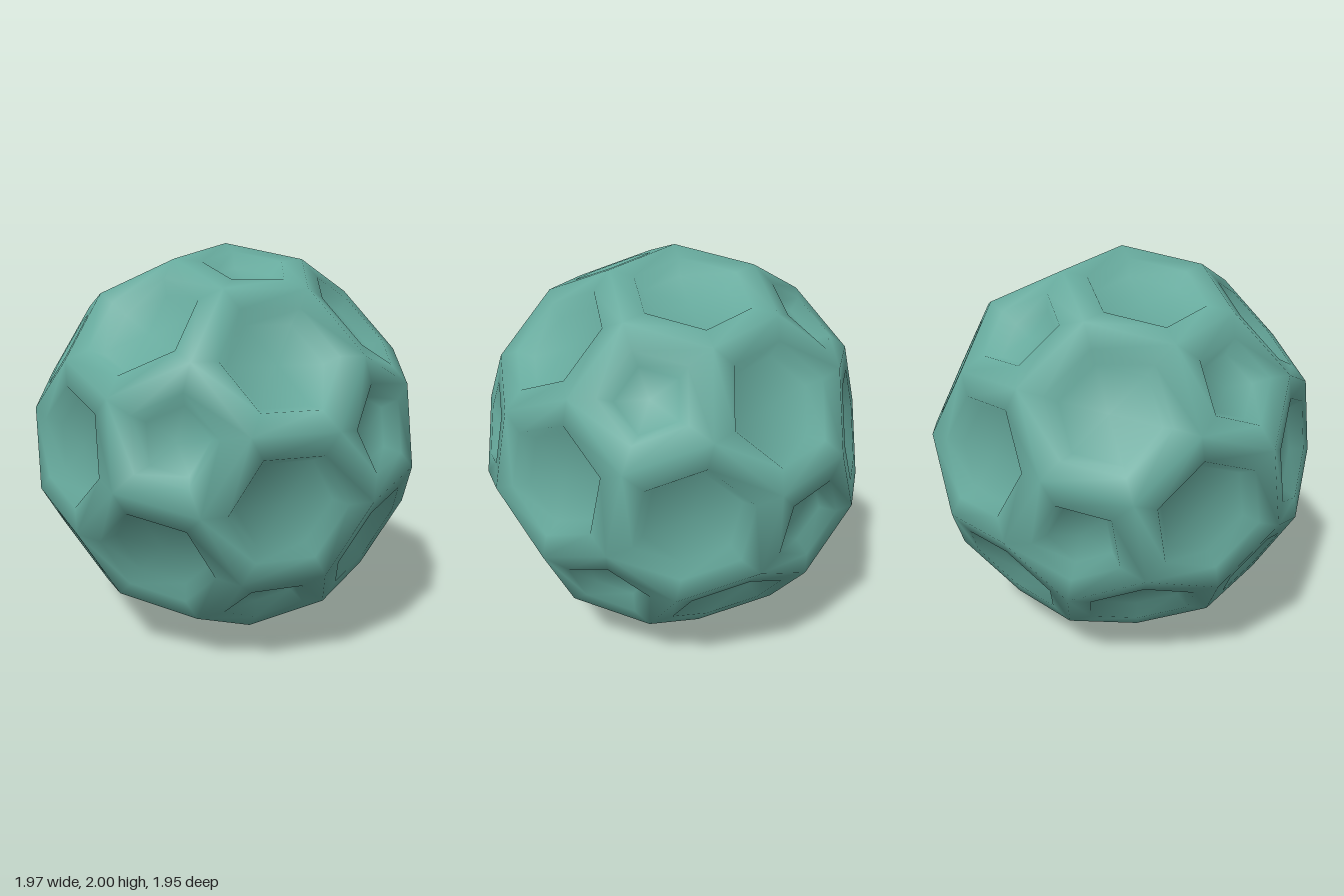
import * as THREE from 'three';
import { mergeVertices } from 'three/addons/utils/BufferGeometryUtils.js';

// Ball of 12 pentagons and 20 hexagons, standing on one corner, each panel sunk inside a flat border.
const TURN = THREE.MathUtils.degToRad(34.4); // heading of the pentagon beside the top corner
// Each ring: distance in from the panel edge, and depth below the panel
const RINGS = [[0, 0], [0.105, 0], [0.15, 0.065]];

// Twelve five-fold axes, laid out so that a corner of the ball points straight up
function fiveFoldAxes() {
  const half = [
    [0, 0.9392, 0.3433], [0, 0.7271, -0.6866],
    [0.8507, 0.5149, -0.1061], [-0.8507, 0.5149, -0.1061],
    [0.5257, 0.1717, 0.8332], [-0.5257, 0.1717, 0.8332],
  ].map((p) => new THREE.Vector3(...p).normalize());
  return [...half, ...half.map((p) => p.clone().negate())];
}

// Ball corner a third of the way from one axis to its neighbour
const corner = (a, b) => a.clone().multiplyScalar(2).add(b).normalize();
const adjacent = (a, b) => Math.abs(a.dot(b) - 0.4472) < 0.05;

// Sorts corners anticlockwise as seen from outside
function ordered(points, normal) {
  const u = points[0].clone().addScaledVector(normal, -points[0].dot(normal)).normalize();
  const v = normal.clone().cross(u);
  const angle = (p) => Math.atan2(p.dot(v), p.dot(u));
  return points.sort((a, b) => angle(a) - angle(b));
}

// Panel: flat border, steep wall, then a sunken floor
function addPanel(out, corners, normal) {
  const n = corners.length;
  const pts = ordered(corners, normal);
  const centre = pts.reduce((s, p) => s.add(p), new THREE.Vector3()).divideScalar(n);
  const apothem = pts[0].clone().add(pts[1]).multiplyScalar(0.5).distanceTo(centre);
  const at = ([inset, depth], i) => pts[i % n].clone()
    .lerp(centre, inset / apothem).addScaledVector(normal, -depth);
  const tri = (...ps) => ps.forEach((p) => out.push(p.x, p.y, p.z));
  const floor = RINGS[RINGS.length - 1];
  const middle = centre.clone().addScaledVector(normal, -floor[1]);
  for (let i = 0; i < n; i++) {
    for (let r = 0; r < RINGS.length - 1; r++) {
      const a = at(RINGS[r], i), b = at(RINGS[r], i + 1);
      const c = at(RINGS[r + 1], i + 1), d = at(RINGS[r + 1], i);
      tri(a, b, c);
      tri(a, c, d);
    }
    tri(at(floor, i), at(floor, i + 1), middle);
  }
}

export function createModel() {
  const axes = fiveFoldAxes();
  const out = [];

  // Pentagons
  for (const a of axes) {
    const around = axes.filter((b) => adjacent(a, b));
    addPanel(out, around.map((b) => corner(a, b)), a);
  }

  // Hexagons, one between every three neighbouring axes
  for (let i = 0; i < 12; i++) for (let j = i + 1; j < 12; j++) for (let k = j + 1; k < 12; k++) {
    const [a, b, c] = [axes[i], axes[j], axes[k]];
    if (!adjacent(a, b) || !adjacent(b, c) || !adjacent(a, c)) continue;
    const normal = a.clone().add(b).add(c).normalize();
    addPanel(out, [[a, b], [b, a], [b, c], [c, b], [a, c], [c, a]].map((e) => corner(...e)), normal);
  }

  // Shared corners give soft ridges
  let geometry = new THREE.BufferGeometry();
  geometry.setAttribute('position', new THREE.Float32BufferAttribute(out, 3));
  geometry = mergeVertices(geometry, 1e-3);
  geometry.computeVertexNormals();
  geometry.rotateY(TURN);
  geometry.translate(0, 1, 0);

  const teal = new THREE.MeshStandardMaterial({ color: 0x66a99c });
  teal.name = 'teal';
  const ball = new THREE.Mesh(geometry, teal);
  ball.name = 'dimpledBall';
  const model = new THREE.Group();
  model.name = 'ball';
  model.add(ball);
  return model;
}
